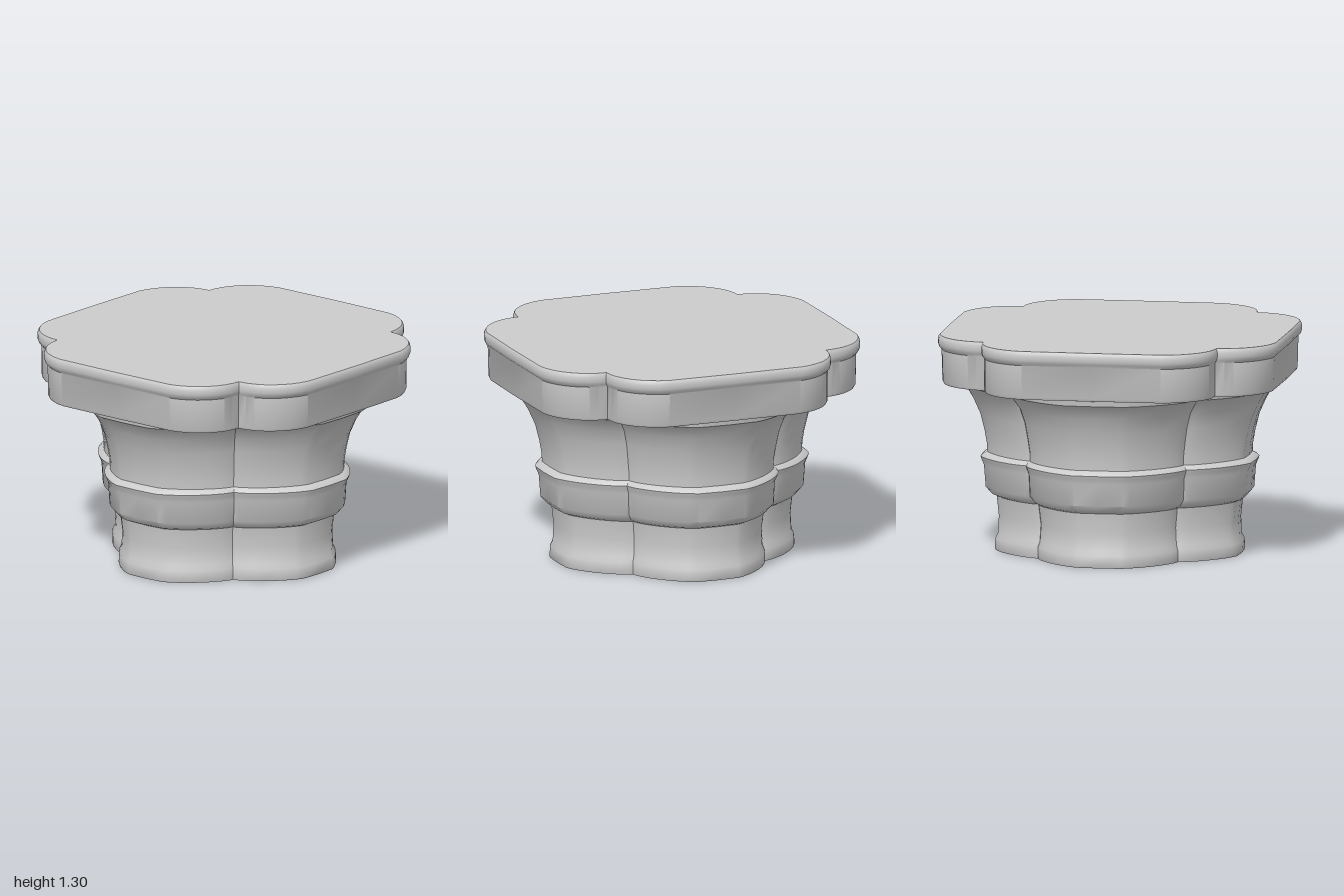
import * as THREE from 'three';
import { toCreasedNormals } from 'three/addons/utils/BufferGeometryUtils.js';

const STEPS = 18; // segments per lobe

// Four-lobed outline: reach = lobe tip, notch = inner corner,
// flat = straight share of each lobe, p = fullness of its rounded shoulders
function outline(reach, notch, flat, p) {
  const points = [];
  for (let lobe = 0; lobe < 4; lobe++) {
    for (let i = 0; i < STEPS; i++) {
      const t = (i / STEPS - 0.5) * Math.PI;
      const shoulder = Math.abs(Math.sin(t)) ** (2 / p);
      let x = notch * Math.sign(t) * (flat + (1 - flat) * shoulder);
      let z = notch + (reach - notch) * Math.max(0, Math.cos(t)) ** (2 / p);
      for (let k = 0; k < lobe; k++) [x, z] = [z, -x];
      points.push([x, z]);
    }
  }
  return points;
}

// Closed loft through levels of [y, reach, notch]
function loft(name, levels, flat, p) {
  const positions = [], index = [], n = 4 * STEPS;
  for (const [y, reach, notch] of levels) {
    for (const [x, z] of outline(reach, notch, flat, p)) positions.push(x, y, z);
  }
  const last = levels.length - 1;
  const bottom = positions.length / 3, top = bottom + 1;
  positions.push(0, levels[0][0], 0, 0, levels[last][0], 0);
  for (let j = 0; j < n; j++) {
    const k = (j + 1) % n;
    for (let i = 0; i < last; i++) {
      const a = i * n + j, b = i * n + k;
      index.push(a, b, b + n, a, b + n, a + n);
    }
    index.push(bottom, k, j, top, last * n + j, last * n + k);
  }
  const geometry = new THREE.BufferGeometry();
  geometry.setAttribute('position', new THREE.Float32BufferAttribute(positions, 3));
  geometry.setIndex(index);
  const mesh = new THREE.Mesh(
    toCreasedNormals(geometry, 0.7),
    new THREE.MeshStandardMaterial({ color: 0xcccccc })
  );
  mesh.name = name;
  return mesh;
}

export function createModel() {
  const model = new THREE.Group();
  model.name = 'lobedCapital';

  // Foot of the shaft with a slight flare at the ground
  model.add(loft('foot', [
    [0, 0.713, 0.408], [0.01, 0.718, 0.41], [0.07, 0.715, 0.41], [0.10, 0.70, 0.40],
    [0.20, 0.695, 0.395], [0.30, 0.705, 0.405], [0.34, 0.71, 0.41],
  ], 0.25, 1.4));

  // Raised band with a soft lip on its upper edge
  model.add(loft('band', [
    [0.315, 0.70, 0.405], [0.33, 0.735, 0.425], [0.37, 0.77, 0.45], [0.50, 0.78, 0.455],
    [0.53, 0.793, 0.465], [0.55, 0.80, 0.47], [0.565, 0.785, 0.46], [0.58, 0.755, 0.445],
  ], 0.25, 1.4));

  // Flaring bell ending in a thin rim
  model.add(loft('bell', [
    [0.55, 0.76, 0.45], [0.62, 0.762, 0.45], [0.70, 0.775, 0.46], [0.80, 0.80, 0.475],
    [0.89, 0.84, 0.50], [0.96, 0.88, 0.54], [0.975, 0.905, 0.56], [1.005, 0.91, 0.565],
    [1.012, 0.90, 0.56], [1.02, 0.85, 0.54],
  ], 0.25, 1.4));

  // Top slab with a rounded moulding around its upper edge
  model.add(loft('topSlab', [
    [1.015, 0.968, 0.67], [1.03, 0.975, 0.675], [1.215, 0.98, 0.675], [1.23, 0.993, 0.685],
    [1.25, 1.0, 0.69], [1.275, 1.0, 0.69], [1.29, 0.996, 0.687], [1.30, 0.989, 0.683],
  ], 0.52, 2));

  return model;
}
